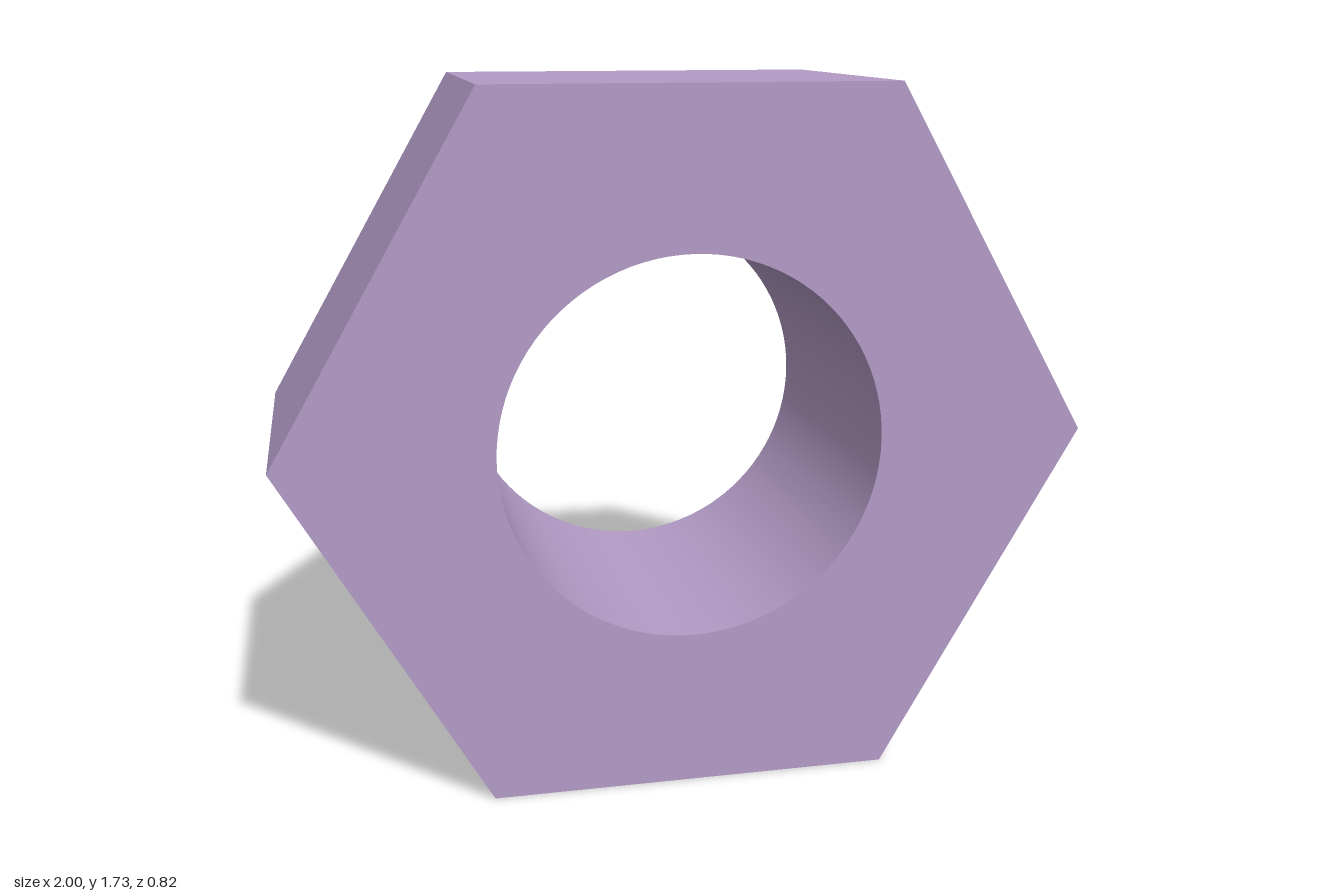
import * as THREE from 'three';
import { toCreasedNormals } from 'three/addons/utils/BufferGeometryUtils.js';

const RADIUS = 1; // hexagon corner radius
const BORE = 0.475; // hole radius
const DEPTH = 0.82;

export function createModel() {
  const group = new THREE.Group();
  group.name = 'hexNut';

  // Hexagon with flats at top and bottom
  const corners = [];
  for (let i = 0; i < 6; i++) {
    const a = (i * Math.PI) / 3;
    corners.push(new THREE.Vector2(RADIUS * Math.cos(a), RADIUS * Math.sin(a)));
  }
  const outline = new THREE.Shape(corners);

  // Round through-hole
  outline.holes.push(new THREE.Path().absarc(0, 0, BORE, 0, Math.PI * 2, true));

  const extruded = new THREE.ExtrudeGeometry(outline, {
    depth: DEPTH,
    bevelEnabled: false,
    curveSegments: 48,
  });
  extruded.translate(0, RADIUS * Math.sin(Math.PI / 3), -DEPTH / 2);

  // Smooth bore, sharp outer edges
  const nut = new THREE.Mesh(
    toCreasedNormals(extruded, Math.PI / 6),
    new THREE.MeshStandardMaterial({ color: 0xb39bc6 })
  );
  nut.name = 'nutBody';
  group.add(nut);
  return group;
}
